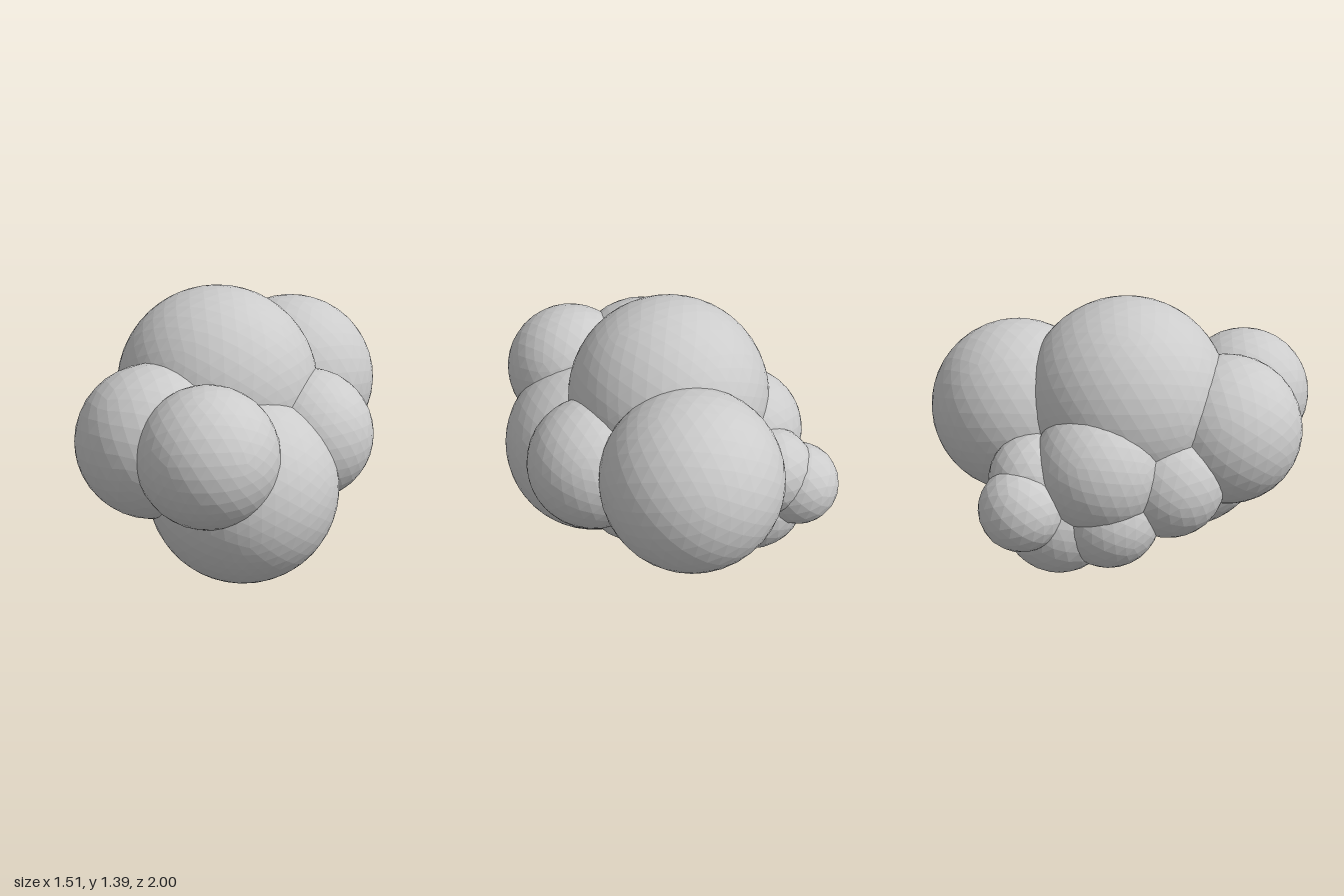
import * as THREE from 'three';

// Cluster of overlapping faceted balls: name, x, y, z, radius
const LOBES = [
  ['topLobe', -0.06, 0.875, 0.02, 0.52],
  ['rearLobe', 0.10, 0.765, -0.545, 0.455],
  ['frontLeftLobe', 0.22, 0.77, 0.655, 0.345],
  ['frontRightLobe', -0.155, 0.735, 0.53, 0.385],
  ['lowerLobe', 0.24, 0.48, 0.32, 0.48],
  ['leftSideLobe', 0.415, 0.66, -0.07, 0.34],
  ['undersideLobe', 0.20, 0.50, -0.15, 0.30],
  ['rightSideLobe', -0.405, 0.65, -0.13, 0.33],
  ['rightFrontLowerLobe', -0.36, 0.55, 0.22, 0.29],
  ['rightLowerLobe', -0.45, 0.40, -0.08, 0.26],
  ['rearBottomLobe', -0.37, 0.36, -0.33, 0.29],
  ['rearRightKnob', -0.54, 0.50, -0.51, 0.215],
  ['rearRightNeck', -0.40, 0.59, -0.45, 0.23],
];

export function createModel() {
  const group = new THREE.Group();
  group.name = 'lobedCluster';
  const material = new THREE.MeshStandardMaterial({ color: 0xcccccc, flatShading: true });

  LOBES.forEach(([name, x, y, z, r], i) => {
    // Finer facets on bigger lobes keep the facet size even
    const geometry = new THREE.IcosahedronGeometry(r, Math.round(r * 14));
    // Turn each lobe differently so the facets do not line up
    geometry.rotateY(i * 0.7).rotateX(i * 0.4);
    const lobe = new THREE.Mesh(geometry, material);
    lobe.name = name;
    lobe.position.set(x, y, z);
    group.add(lobe);
  });
  return group;
}
